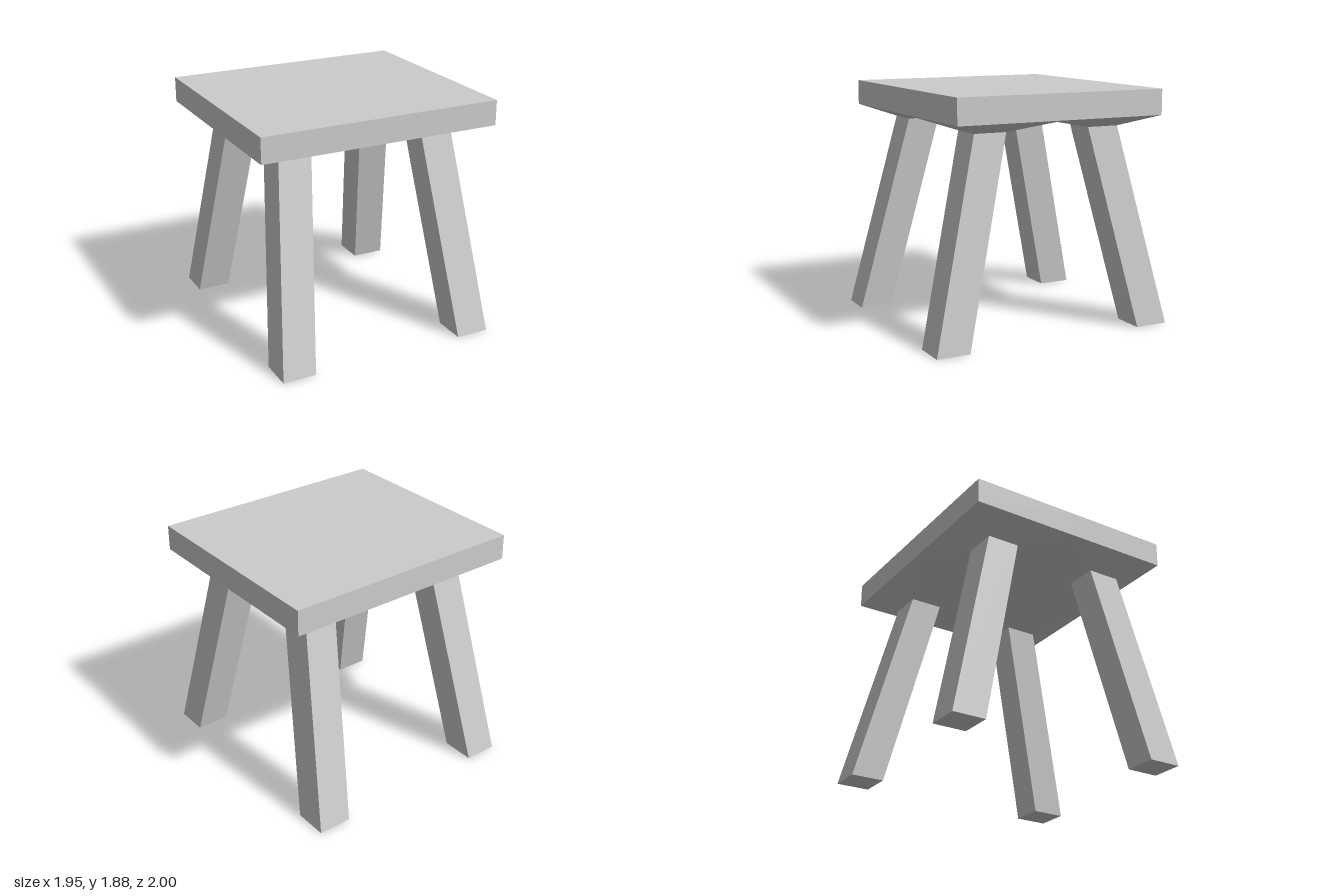
import * as THREE from 'three';

const TOP = 1.88, RIM = 1.68, LEG_TOP = 1.59;
const W = 0.975, D = 0.86;
// Leg cross-sections: [inner x, outer x, inner z, outer z]
const UPPER = [0.47, 0.735, 0.352, 0.615];
const LOWER = [0.632, 0.9, 0.732, 1.0];

// Seat slab with a shallow dished top and an underside that sinks to meet each leg
function seatGeometry() {
  const pos = [];
  const [xi, xo, zi, zo] = UPPER;
  for (const sx of [1, -1]) for (const sz of [1, -1]) {
    const tri = (a, b, c) => {
      const order = sx * sz > 0 ? [a, b, c] : [a, c, b];
      for (const p of order) pos.push(p[0] * sx, p[1], p[2] * sz);
    };
    const quad = (a, b, c, d) => { tri(a, b, c); tri(a, c, d); };

    // underside: quarter outline sloping to the leg socket
    const outer = [[W, RIM, D], [0, RIM, D], [0, 1.65, 0], [W, RIM, 0]];
    const inner = [[xo, LEG_TOP, zo], [xi, LEG_TOP, zo], [xi, LEG_TOP, zi], [xo, LEG_TOP, zi]];
    for (let k = 0; k < 4; k++) {
      const n = (k + 1) % 4;
      quad(outer[k], outer[n], inner[n], inner[k]);
    }

    // rim and top
    const corner = [W, TOP, D], midX = [W, TOP, 0], midZ = [0, TOP, D], centre = [0, TOP - 0.01, 0];
    quad(outer[0], outer[3], midX, corner);
    quad(outer[1], outer[0], corner, midZ);
    tri(corner, midX, centre);
    tri(corner, centre, midZ);
  }
  const g = new THREE.BufferGeometry();
  g.setAttribute('position', new THREE.Float32BufferAttribute(pos, 3));
  g.computeVertexNormals();
  return g;
}

// Square leg sheared outwards towards the floor
function legGeometry(sx, sz) {
  const g = new THREE.BoxGeometry(1, 1, 1);
  const p = g.attributes.position;
  for (let i = 0; i < p.count; i++) {
    const up = p.getY(i) > 0;
    const [xi, xo, zi, zo] = up ? UPPER : LOWER;
    const x = p.getX(i) * sx > 0 ? xo : xi;
    const z = p.getZ(i) * sz > 0 ? zo : zi;
    p.setXYZ(i, x * sx, up ? LEG_TOP : 0, z * sz);
  }
  g.computeVertexNormals();
  return g;
}

export function createModel() {
  const group = new THREE.Group();
  group.name = 'stool';
  const material = new THREE.MeshStandardMaterial({ color: 0xcccccc, flatShading: true });
  const add = (name, geometry) => {
    const mesh = new THREE.Mesh(geometry, material);
    mesh.name = name;
    group.add(mesh);
  };

  add('seat', seatGeometry());
  for (const sx of [1, -1]) for (const sz of [1, -1]) {
    add((sz > 0 ? 'front' : 'back') + (sx > 0 ? 'Left' : 'Right') + 'Leg', legGeometry(sx, sz));
  }
  return group;
}
